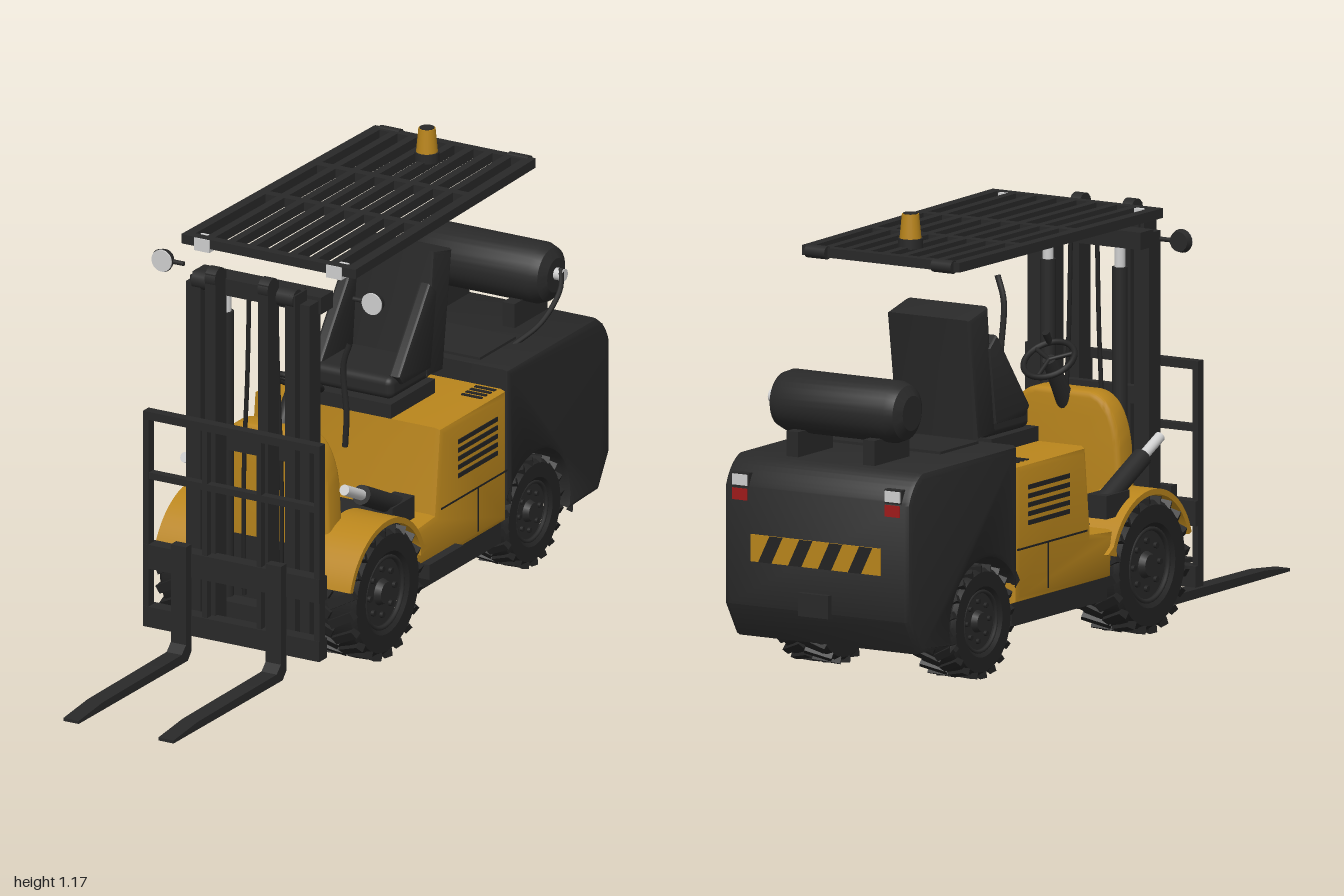
import * as THREE from 'three';
import { mergeGeometries, toCreasedNormals } from 'three/addons/utils/BufferGeometryUtils.js';
import { RoundedBoxGeometry } from 'three/addons/geometries/RoundedBoxGeometry.js';

const mat = (name, color) => Object.assign(new THREE.MeshStandardMaterial({ color }), { name });
const V = (x, y, z) => new THREE.Vector3(x, y, z);

export function createModel() {
  const root = new THREE.Group();
  root.name = 'forklift';
  const black = mat('charcoal paint', 0x292929), rubber = mat('tyre rubber', 0x232323);
  const yellow = mat('amber yellow', 0xb9851c), grey = mat('light grey', 0xcfcfcf), red = mat('tail red', 0xa01a1a);

  const add = (name, geo, m, parent = root) => {
    const mesh = new THREE.Mesh(geo, m);
    mesh.name = name;
    parent.add(mesh);
    return mesh;
  };
  // box given by its extents [min, max] on each axis
  const box = (name, m, [x0, x1], [y0, y1], [z0, z1], parent) => {
    const mesh = add(name, new THREE.BoxGeometry(x1 - x0, y1 - y0, z1 - z0), m, parent);
    mesh.position.set((x0 + x1) / 2, (y0 + y1) / 2, (z0 + z1) / 2);
    return mesh;
  };
  const about = (c, w) => [c - w / 2, c + w / 2];
  const poly = pts => new THREE.Shape(pts.map(p => new THREE.Vector2(...p)));
  // side profile drawn as (z, y), given a width along x
  const side = (name, m, shape, width, x = 0, bevel = 0) => {
    const geo = new THREE.ExtrudeGeometry(shape, {
      depth: width - 2 * bevel, bevelEnabled: bevel > 0, bevelSize: bevel, bevelThickness: bevel,
      bevelOffset: -bevel, bevelSegments: 2, curveSegments: 20 });
    geo.translate(0, 0, bevel - width / 2).rotateY(-Math.PI / 2);
    const mesh = add(name, toCreasedNormals(geo, 0.6), m);
    mesh.position.x = x;
    return mesh;
  };
  // straight rod between two points
  const rod = (name, m, a, b, r, r2 = r, parent = root) => {
    const mesh = add(name, new THREE.CylinderGeometry(r2, r, a.distanceTo(b), 20), m, parent);
    mesh.position.copy(a).lerp(b, 0.5);
    mesh.quaternion.setFromUnitVectors(V(0, 1, 0), b.clone().sub(a).normalize());
    return mesh;
  };
  const hose = (name, m, pts, r) =>
    add(name, new THREE.TubeGeometry(new THREE.CatmullRomCurve3(pts), 20, r, 8), m);

  // Wheels with chevron lugs, hub and bolts
  const wheel = (name, r, w, x, y, z) => {
    const g = new THREE.Group();
    g.name = name;
    const prof = [[.5, -.42], [.62, -.5], [.88, -.5], [.94, -.42], [.94, .42], [.88, .5], [.62, .5], [.5, .38]];
    const tyre = new THREE.LatheGeometry(prof.map(p => new THREE.Vector2(p[0] * r, p[1] * w)), 36);
    add('tyre', toCreasedNormals(tyre.rotateZ(-Math.PI / 2), 0.5), rubber, g);
    const lugs = [], n = 20;
    for (let i = 0; i < n; i++) for (const s of [-1, 1]) {
      const lug = new THREE.BoxGeometry(w * .56, r * .12, r * .13);
      lug.rotateY(s * .5).translate(s * w * .24, r * .935, 0);
      lugs.push(lug.rotateX((i + (s > 0 ? .5 : 0)) / n * Math.PI * 2));
    }
    add('treadLugs', mergeGeometries(lugs), rubber, g);
    rod('rim', black, V(-w * .42, 0, 0), V(w * .36, 0, 0), r * .53, r * .53, g);
    add('rimLip', new THREE.TorusGeometry(r * .53, r * .035, 8, 32).rotateY(Math.PI / 2), black, g).position.x = w * .42;
    rod('hub', black, V(w * .3, 0, 0), V(w * .48, 0, 0), r * .22, r * .16, g);
    for (let i = 0; i < 8; i++) {
      const a = i * Math.PI / 4, p = V(w * .3, Math.cos(a) * r * .35, Math.sin(a) * r * .35);
      rod('bolt', rubber, p, p.clone().setX(w * .42), r * .045, r * .045, g);
    }
    g.position.set(x, y, z);
    if (x < 0) g.rotation.y = Math.PI;
    root.add(g);
  };

  // Chassis and yellow body
  box('chassis', black, [-.15, .15], [.07, .3], [.02, .25]);
  box('underbody', black, [-.26, .26], [.11, .18], [-.47, -.02]);
  box('rearAxleHousing', black, [-.12, .12], [.11, .45], [-.9, -.45]);
  side('engineCover', yellow, poly([[-.475, .17], [-.02, .17], [-.01, .292], [-.115, .3], [-.14, .527], [-.475, .527]]), .555, 0, .018);
  box('floorMat', black, [-.2, .2], [.28, .3], [-.11, .17]);
  const cowl = new THREE.Shape();
  cowl.moveTo(-.18, .27); cowl.lineTo(.18, .27); cowl.lineTo(.17, .46);
  cowl.quadraticCurveTo(.155, .59, .08, .6); cowl.lineTo(-.08, .6); cowl.quadraticCurveTo(-.155, .59, -.17, .46);
  const cowlGeo = new THREE.ExtrudeGeometry(cowl, { depth: .05, bevelSize: .015, bevelThickness: .012, bevelOffset: -.015, bevelSegments: 3 });
  add('frontCowl', toCreasedNormals(cowlGeo, .6), yellow).position.z = .187;
  box('sideStep', black, [.26, .303], [.155, .195], [-.21, -.04]);

  // Counterweight with rear wheel arches
  const cw = new THREE.Shape();
  cw.moveTo(-.47, .58); cw.lineTo(-.915, .58); cw.quadraticCurveTo(-.965, .56, -.985, .5);
  cw.lineTo(-.985, .2); cw.lineTo(-.93, .11); cw.lineTo(-.781, .11);
  cw.absarc(-.62, .145, .165, Math.PI + .214, .43, true);
  cw.lineTo(-.47, .214);
  side('counterweight', black, cw, .56, 0, .015);
  box('rearHoodPanel', black, [-.18, .18], [.579, .587], [-.68, -.5]);
  box('towHitch', black, [-.045, .045], [.19, .25], [-1, -.97]);

  // Hazard plate: yellow with dark slanted stripes
  box('hazardPlate', yellow, [-.195, .195], [.315, .385], [-.989, -.98]);
  for (let i = 0; i < 4; i++) {
    const x = -.172 + i * .09;
    const g = new THREE.ShapeGeometry(poly([[x, .315], [x + .04, .315], [x + .074, .385], [x + .034, .385]]));
    add('hazardStripe', g.rotateY(Math.PI), rubber).position.z = -.9905;
  }

  // Gas tank on cradles, with valve and hose
  const tank = [[0, -.2], [.045, -.2], [.07, -.185], [.08, -.16], [.08, .16], [.07, .185], [.045, .2], [0, .2]];
  const tankGeo = new THREE.LatheGeometry(tank.map(p => new THREE.Vector2(...p)), 32).rotateZ(-Math.PI / 2);
  add('gasTank', toCreasedNormals(tankGeo, .5), black).position.set(.01, .71, -.83);
  for (const x of [-.11, .12]) box('tankCradle', black, about(x, .035), [.575, .645], [-.91, -.745]);
  rod('tankValve', grey, V(.2, .715, -.83), V(.235, .715, -.83), .016);
  hose('gasHose', rubber, [V(.225, .73, -.83), V(.245, .69, -.79), V(.23, .62, -.72), V(.19, .575, -.65)], .007);

  // Seat
  box('seatBase', black, [-.13, .13], [.52, .565], [-.36, -.14]);
  add('seatCushion', new RoundedBoxGeometry(.24, .06, .21, 3, .02), black).position.set(0, .595, -.265);
  side('seatBack', black, poly([[-.365, .908], [-.46, .885], [-.415, .57], [-.33, .575]]), .25, 0, .012);

  // Steering column, wheel and control lever
  rod('steeringColumn', black, V(0, .55, .205), V(0, .685, .115), .026, .018);
  const sw = new THREE.Group();
  sw.name = 'steeringWheel';
  add('wheelRim', new THREE.TorusGeometry(.068, .008, 10, 32), rubber, sw);
  for (let i = 0; i < 3; i++) {
    const a = i * 2.0944 + .5236;
    rod('spoke', rubber, V(0, 0, 0), V(Math.cos(a) * .068, Math.sin(a) * .068, 0), .006, .006, sw);
  }
  rod('spinnerKnob', rubber, V(.03, .06, 0), V(.03, .06, -.035), .008, .01, sw);
  sw.position.set(0, .685, .115);
  sw.rotation.x = 1.0;
  root.add(sw);
  hose('grabHandle', black, [V(.19, .57, .19), V(.2, .66, .2), V(.2, .8, .215), V(.222, .865, .22)], .008);

  // Overhead guard of slats, narrowing to the rear, with beacon
  const gy = [1.055, 1.08];
  for (let i = 0; i <= 8; i++) {
    const xf = -.243 + i * .06075, xr = xf * .92, w = i % 8 ? .022 : .028;
    box('guardSlat', black, about((xf + xr) / 2, w), gy, [-.68, .25]).rotation.y = Math.atan2(xf - xr, .93);
  }
  for (const z of [-.67, -.37, -.12, .24]) {
    const h = .236 + (z + .67) * .021;
    box('guardCrossbar', black, [-h, h], gy, about(z, .024));
  }
  rod('beaconBase', black, V(0, 1.075, -.54), V(0, 1.1, -.54), .032);
  rod('beacon', yellow, V(0, 1.1, -.54), V(0, 1.163, -.54), .028, .022);
  rod('beaconCap', black, V(0, 1.162, -.54), V(0, 1.165, -.54), .019);

  for (const s of [-1, 1]) {
    wheel('frontWheel', .177, .14, s * .22, .177, .147);
    wheel('rearWheel', .147, .13, s * .205, .147, -.62);

    // Front fender: arched shell with an inner wall
    const arch = new THREE.Shape();
    arch.absarc(.147, .177, .196, .3, 2.75, false);
    arch.lineTo(-.06, .235); arch.lineTo(-.02, .225);
    arch.absarc(.147, .177, .181, 2.75, .3, true);
    side('frontFender', yellow, arch, .13, s * .225);
    const wall = new THREE.Shape();
    wall.absarc(.147, .177, .188, .3, 2.8, false);
    side('fenderInnerWall', yellow, wall, .01, s * .155);

    // Side vents and panel seams
    for (let i = 0; i < 5; i++) box('sideLouvre', rubber, about(s * .2765, .007), about(.465 - i * .023, .012), [-.42, -.225]);
    box('panelSeam', rubber, about(s * .277, .003), about(.31, .005), [-.47, -.14]);
    box('panelSeam', rubber, about(s * .277, .003), [.19, .31], about(-.325, .005));
    for (let i = 0; i < 4; i++) box('topVent', rubber, about(s * .225, .06), [.523, .53], about(-.45 + i * .022, .01));

    // Seat bolsters
    side('seatBolster', black, poly([[-.18, .625], [-.335, .83], [-.37, .8], [-.34, .6], [-.2, .6]]), .035, s * .115, .008);

    // Tilt cylinders
    rod('tiltRod', grey, V(s * .235, .485, .27), V(s * .235, .44, .175), .014);
    rod('tiltCylinder', black, V(s * .235, .445, .185), V(s * .235, .355, 0), .026);
    box('tiltMount', black, about(s * .235, .06), [.32, .38], [-.03, .08]);

    // Mast stages, lift cylinders and hoses
    box('outerMastRail', black, about(s * .16, .045), [.06, 1], [.3, .355]);
    box('middleMastRail', black, about(s * .14, .03), [.07, 1.03], [.32, .38]);
    box('innerMastRail', black, about(s * .078, .03), [.07, 1.055], [.355, .41]);
    rod('mastPulley', black, V(s * .063, 1.04, .385), V(s * .093, 1.04, .385), .028);
    rod('mastRoller', black, V(s * .1, 1.015, .36), V(s * .15, 1.015, .36), .025);
    rod('liftCylinder', black, V(s * .108, .1, .28), V(s * .108, .91, .28), .02);
    rod('liftRod', grey, V(s * .108, .9, .28), V(s * .108, .985, .28), .014);
    hose('mastHose', rubber, [V(s * .055, .15, .28), V(s * .055, .5, .28), V(s * .045, .75, .28), V(s * .04, .97, .28)], .006);

    // Forks, backrest posts
    side('fork', black, poly([[.437, .325], [.437, .035], [.455, .015], [1, .018], [1, .026], [.88, .038], [.485, .04], [.464, .06], [.464, .325]]), .045, s * .14);
    box('backrestPost', black, about(s * .252, .016), [.08, .66], [.41, .437]);
    box('backrestBar', black, about(s * .08, .014), [.1, .65], [.415, .435]);

    // Mirrors, work lights and tail lights
    rod('mirrorArm', black, V(s * .25, 1, .25), V(s * .31, 1, .25), .006);
    rod('mirrorShell', black, V(s * .31, 1, .24), V(s * .31, 1, .257), .026, .031);
    rod('mirrorGlass', grey, V(s * .31, 1, .257), V(s * .31, 1, .262), .029);
    box('workLight', grey, about(s * .195, .045), [1.045, 1.079], [.215, .255]);
    rod('guardRearLamp', black, V(s * .16, 1.067, -.68), V(s * .22, 1.067, -.68), .017);
    box('lightHousing', black, about(s * .23, .052), [.465, .54], [-.984, -.94]);
    box('reverseLight', grey, about(s * .23, .045), [.508, .536], [-.988, -.98]);
    box('tailLight', red, about(s * .23, .045), [.47, .5], [-.988, -.98]);
  }

  // Mast and carriage crossbars
  box('mastTopBar', black, [-.19, .19], [.965, 1.01], [.25, .31]);
  box('middleTopBar', black, [-.145, .145], [.985, 1.03], [.31, .36]);
  box('mastMiddleBar', black, [-.15, .15], [.555, .6], [.305, .33]);
  box('mastLowerBar', black, [-.18, .18], [.07, .14], [.27, .32]);
  box('carriageUpperBar', black, [-.26, .26], [.235, .3], [.4, .438]);
  box('carriageLowerBar', black, [-.26, .26], [.077, .132], [.4, .438]);
  box('backrestTopBar', black, [-.26, .26], [.638, .66], [.41, .437]);
  box('backrestMiddleBar', black, [-.25, .25], [.477, .495], [.413, .435]);
  return root;
}
